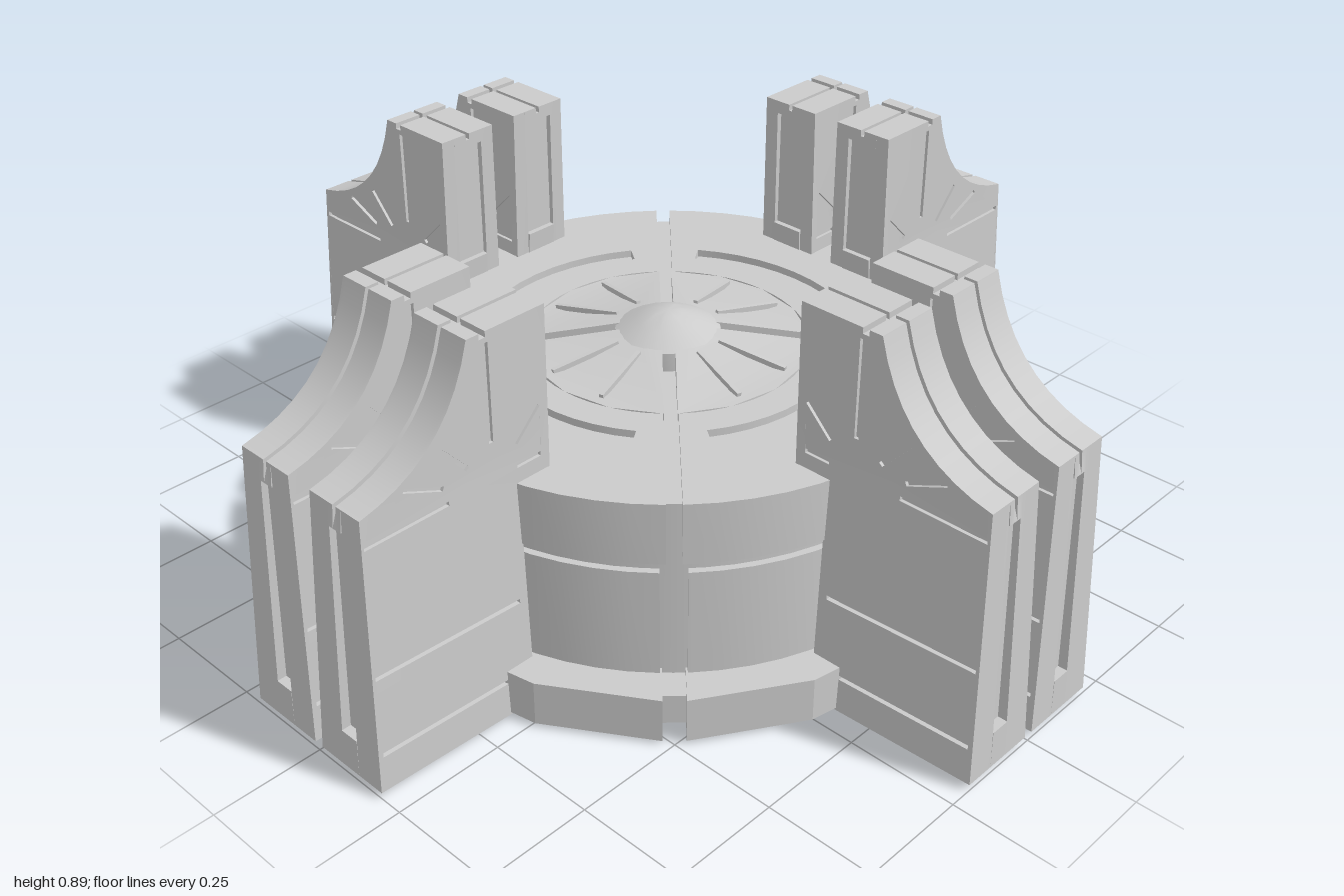
import * as THREE from 'three';
import { mergeGeometries, toCreasedNormals } from 'three/addons/utils/BufferGeometryUtils.js';

const material = new THREE.MeshStandardMaterial({ color: 0xcccccc });
const V = (x, y) => new THREE.Vector2(x, y);

function addMesh(parent, name, geometry) {
  const mesh = new THREE.Mesh(geometry, material);
  mesh.name = name;
  parent.add(mesh);
  return mesh;
}

// Outline of a quarter ring with a parallel-sided gap left along each diagonal
function ringOutline(r0, r1, gap, steps, span = Math.PI / 4) {
  const points = [];
  for (const [r, dir] of [[r1, 1], [r0, -1]]) {
    const half = span - Math.asin(gap / r);
    for (let i = 0; i <= steps; i++) {
      const a = dir * half * (2 * i / steps - 1);
      points.push(V(r * Math.cos(a), r * Math.sin(a)));
    }
  }
  return points;
}

// Quarter ring standing between two heights; the top may rise with radius
function quarterRing({ r0, r1, y0, y1, gap, steps, hole, lift }) {
  const shape = new THREE.Shape(ringOutline(r0, r1, gap, steps));
  if (hole) shape.holes.push(new THREE.Path(hole));
  const g = new THREE.ExtrudeGeometry(shape, { depth: y1 - y0, bevelEnabled: false });
  g.rotateX(-Math.PI / 2).translate(0, y0, 0);
  if (lift) {
    const p = g.attributes.position;
    for (let i = 0; i < p.count; i++) {
      if (p.getY(i) > y1 - 0.001) p.setY(i, y1 + lift(Math.hypot(p.getX(i), p.getZ(i))));
    }
  }
  return toCreasedNormals(g, 0.3);
}

// Side profile of a buttress, optionally with its recesses
function buttressProfile({ slot = false, panel = false, drop = 0 }) {
  const top = 0.89 - drop;
  const pts = [V(0.6, 0), V(1, 0.015)];
  if (slot) pts.push(V(0.997, 0.1), V(0.975, 0.1), V(0.96, 0.58), V(0.977, 0.58));
  const curve = new THREE.QuadraticBezierCurve(
    V(0.972 - drop * 0.5, 0.63 - drop), V(0.76 - drop * 0.7, 0.67 - drop), V(0.705 - drop * 0.7, top));
  pts.push(...curve.getPoints(9));
  pts.push(V(0.675, top), V(0.675, top - 0.013), V(0.66, top - 0.013), V(0.66, top), V(0.515, top));
  if (panel) pts.push(V(0.515, 0.86), V(0.528, 0.86), V(0.528, 0.58), V(0.515, 0.58));
  pts.push(V(0.52, 0.5), V(0.6, 0.5));
  return new THREE.Shape(pts);
}

// Thin slit between two points, used as a hole in the side plates
function slit(x0, y0, x1, y1, w = 0.005) {
  const l = Math.hypot(x1 - x0, y1 - y0);
  const nx = -(y1 - y0) / l * w, ny = (x1 - x0) / l * w;
  return new THREE.Path([V(x0 + nx, y0 + ny), V(x1 + nx, y1 + ny), V(x1 - nx, y1 - ny), V(x0 - nx, y0 - ny)]);
}

// One buttress: profile layers stacked across its width, then tapered upwards
function buttressGeometry() {
  const plate = buttressProfile({});
  plate.holes = [
    [0.63, 0.085, 0.985, 0.1], [0.62, 0.262, 0.98, 0.28], [0.6, 0.435, 0.973, 0.457],
    [0.77, 0.568, 0.968, 0.568], [0.54, 0.57, 0.6, 0.57], [0.66, 0.65, 0.66, 0.866],
    [0.72, 0.62, 0.783, 0.69], [0.78, 0.605, 0.87, 0.645], [0.54, 0.68, 0.6, 0.62],
  ].map((s) => slit(...s));
  const layers = [
    [plate, 0.083, 0.094],
    [buttressProfile({}), 0.05, 0.083],
    [buttressProfile({ panel: true }), 0.024, 0.05],
    [buttressProfile({ panel: true, slot: true }), 0.006, 0.024],
    [buttressProfile({ panel: true, slot: true, drop: 0.014 }), 0, 0.006],
  ];
  const parts = [];
  for (const [shape, u0, u1] of layers) {
    for (const start of [u0, -u1]) {
      parts.push(new THREE.ExtrudeGeometry(shape, { depth: u1 - u0, bevelEnabled: false }).translate(0, 0, start));
    }
  }
  const g = mergeGeometries(parts);
  const p = g.attributes.position;
  for (let i = 0; i < p.count; i++) {
    const taper = 1 - 0.23 * Math.min(p.getY(i) / 0.6, 1);
    p.setZ(i, p.getZ(i) * taper);
  }
  return toCreasedNormals(g, 0.35);
}

export function createModel() {
  const model = new THREE.Group();
  model.name = 'fortifiedDrum';

  // Inner drum seen at the bottom of the grooves
  addMesh(model, 'drumCore', new THREE.CylinderGeometry(0.605, 0.605, 0.509, 64).translate(0, 0.2605, 0));

  const arcSlot = ringOutline(0.38, 0.425, 0.001, 10, 0.6);
  const bands = {
    baseRing: quarterRing({ r0: 0.5, r1: 0.705, y0: 0.008, y1: 0.112, gap: 0.024, steps: 4 }),
    lowerWall: quarterRing({ r0: 0.5, r1: 0.62, y0: 0.1, y1: 0.362, gap: 0.028, steps: 14 }),
    upperWall: quarterRing({ r0: 0.31, r1: 0.632, y0: 0.392, y1: 0.532, gap: 0.016, steps: 14, hole: arcSlot }),
    roofCone: quarterRing({
      r0: 0.09, r1: 0.31, y0: 0.45, y1: 0.532, gap: 0.014, steps: 4,
      lift: (r) => Math.max(0, 0.31 - r) * 0.15,
    }),
  };
  const buttress = buttressGeometry();

  for (let i = 0; i < 4; i++) {
    const quarter = new THREE.Group();
    quarter.name = 'quarter' + (i + 1);
    quarter.rotation.y = i * Math.PI / 2;
    model.add(quarter);

    for (const [name, geometry] of Object.entries(bands)) addMesh(quarter, name, geometry);

    // Pair of buttresses
    for (const s of [-1, 1]) {
      addMesh(quarter, 'buttress', buttress).position.z = s * 0.105;

      // Thin ribs on the roof cone
      const rib = new THREE.BoxGeometry(0.16, 0.012, 0.01);
      rib.rotateZ(-0.149).translate(0.205, 0.546, 0).rotateY(s * 0.26);
      addMesh(quarter, 'roofRib', rib);
    }

    // Block filling the base ring gap on the diagonal
    const plug = new THREE.BoxGeometry(0.1, 0.07, 0.048).translate(0.625, 0.065, 0).rotateY(Math.PI / 4);
    addMesh(quarter, 'basePlug', plug);
  }

  // Rounded cap in the middle of the roof
  const cap = [V(0.115, 0.5), V(0.115, 0.558), V(0.07, 0.583), V(0.03, 0.6), V(0, 0.603)];
  addMesh(model, 'roofCap', toCreasedNormals(new THREE.LatheGeometry(cap, 24), 0.5));

  return model;
}
